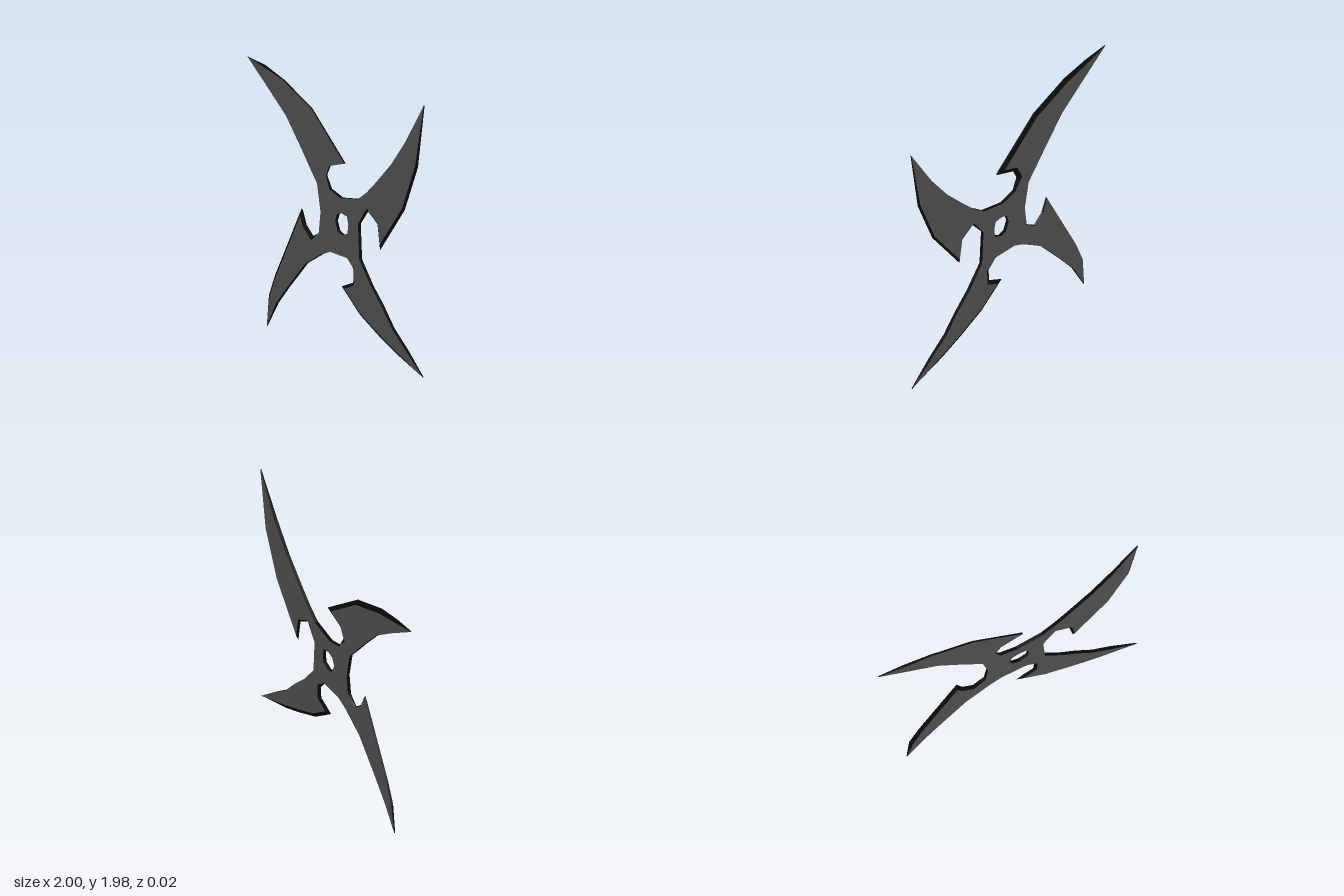
import * as THREE from 'three';

const HALF = 0.012; // half thickness of the plate
const faceMat = new THREE.MeshStandardMaterial({ color: 0x505050, flatShading: true });
const edgeMat = new THREE.MeshStandardMaterial({ color: 0x0a0a0a, flatShading: true });

// Each blade runs clockwise: plain spine from the hub to the tip, then the
// sharpened edge with its barb and notch back to the hub.
// front/back: width of the ground bevel; a third number overrides the front one.
const blades = [
  { name: 'upperRightBlade', front: 0, back: 0.03, tip: [-1, 1.87],
    spine: [[-0.2, 1.15], [-0.27, 1.23], [-0.38, 1.36], [-0.55, 1.55], [-0.75, 1.7]],
    edge: [[-0.8, 1.855, 0.015], [-0.59, 1.8], [-0.27, 1.67], [0.11, 1.36], [-0.06, 1.305], [-0.1, 1.23]],
    root: [-0.06, 1.14] },
  { name: 'upperLeftBlade', front: 0.018, back: 0.015, tip: [1, 1.975],
    spine: [[0.26, 1.14], [0.36, 1.21], [0.46, 1.3], [0.64, 1.475], [0.8, 1.67]],
    edge: [[0.93, 1.52], [0.78, 1.18], [0.5, 0.83], [0.47, 1.01], [0.365, 1.075]],
    root: [0.265, 0.965] },
  { name: 'lowerLeftBlade', front: 0.022, back: 0.028, tip: [0.99, 0.035],
    spine: [[0.28, 0.715], [0.41, 0.555], [0.52, 0.45], [0.65, 0.305], [0.8, 0.19]],
    edge: [[0.67, 0.14], [0.49, 0.215], [0.27, 0.32], [0.065, 0.475], [0.195, 0.53], [0.2, 0.62]],
    root: [0.14, 0.695] },
  { name: 'lowerRightBlade', front: 0.022, back: 0.004, tip: [-0.78, 0],
    spine: [[-0.145, 0.66], [-0.33, 0.55], [-0.435, 0.44], [-0.545, 0.325], [-0.665, 0.19]],
    edge: [[-0.76, 0.225], [-0.69, 0.385], [-0.39, 0.925], [-0.345, 0.82], [-0.265, 0.755]],
    root: [-0.18, 0.805] },
];

// Hub outline, clockwise; open: true marks an edge where a blade joins
const hub = [
  { p: [-0.06, 1.14] }, { p: [0.065, 1.105] }, { p: [0.26, 1.14], open: true },
  { p: [0.265, 0.965] }, { p: [0.28, 0.715], open: true },
  { p: [0.14, 0.695] }, { p: [-0.055, 0.695] }, { p: [-0.145, 0.66], open: true },
  { p: [-0.18, 0.805] }, { p: [-0.16, 0.955] }, { p: [-0.2, 1.15], open: true },
];

// Centre hole, counterclockwise
const hole = [[0.005, 0.93], [0.035, 0.86], [0.085, 0.845], [0.145, 0.87],
  [0.155, 0.935], [0.14, 0.99], [0.08, 1.0], [0.03, 0.985]].map((p) => ({ p }));

// Outline moved inward by each point's own bevel width
function insetRing(pts, key, z) {
  const n = pts.length;
  const inward = (a, b) => new THREE.Vector2(b.p[1] - a.p[1], a.p[0] - b.p[0]).normalize();
  return pts.map((pt, i) => {
    const n1 = inward(pts[(i + n - 1) % n], pt);
    const n2 = inward(pt, pts[(i + 1) % n]);
    const w = (pt[key] || 0) / Math.max(0.3, 1 + n1.dot(n2));
    return new THREE.Vector3(pt.p[0] + (n1.x + n2.x) * w, pt.p[1] + (n1.y + n2.y) * w, pt.tip ? z * 0.3 : z);
  });
}

function toMesh(points, material, name) {
  const geo = new THREE.BufferGeometry().setFromPoints(points);
  geo.computeVertexNormals();
  const mesh = new THREE.Mesh(geo, material);
  mesh.name = name;
  return mesh;
}

// Flat front and back faces, joined by edges that meet in a middle ridge
function plate(name, outline, holes = []) {
  const loops = [outline, ...holes];
  const rings = [['front', HALF], ['mid', 0], ['back', -HALF]]
    .map(([key, z]) => loops.map((loop) => insetRing(loop, key, z)));
  const caps = [];
  const walls = [];

  [[rings[0], 1], [rings[2], -1]].forEach(([ring, dir]) => {
    const flat = ring.map((loop) => loop.map((v) => new THREE.Vector2(v.x, v.y)));
    const all = ring.flat();
    for (const tri of THREE.ShapeUtils.triangulateShape(flat[0], flat.slice(1))) {
      const [a, b, c] = tri.map((i) => all[i]);
      const area = (b.x - a.x) * (c.y - a.y) - (b.y - a.y) * (c.x - a.x);
      caps.push(...(area * dir > 0 ? [a, b, c] : [a, c, b]));
    }
  });

  for (let k = 0; k < 2; k++) {
    loops.forEach((loop, l) => loop.forEach((pt, i) => {
      if (pt.open) return;
      const j = (i + 1) % loop.length;
      const up = rings[k][l], low = rings[k + 1][l];
      walls.push(up[i], up[j], low[j], up[i], low[j], low[i]);
    }));
  }

  const group = new THREE.Group();
  group.name = name;
  group.add(toMesh(caps, faceMat, name + 'Faces'), toMesh(walls, edgeMat, name + 'Edges'));
  return group;
}

export function createModel() {
  const model = new THREE.Group();
  model.name = 'throwingStar';
  model.add(plate('hub', hub, [hole]));
  for (const b of blades) {
    model.add(plate(b.name, [
      ...b.spine.map((p) => ({ p })),
      { p: b.tip, tip: true },
      ...b.edge.map((p) => ({ p, front: p[2] ?? b.front, back: b.back })),
      { p: b.root, open: true },
    ]));
  }
  return model;
}
